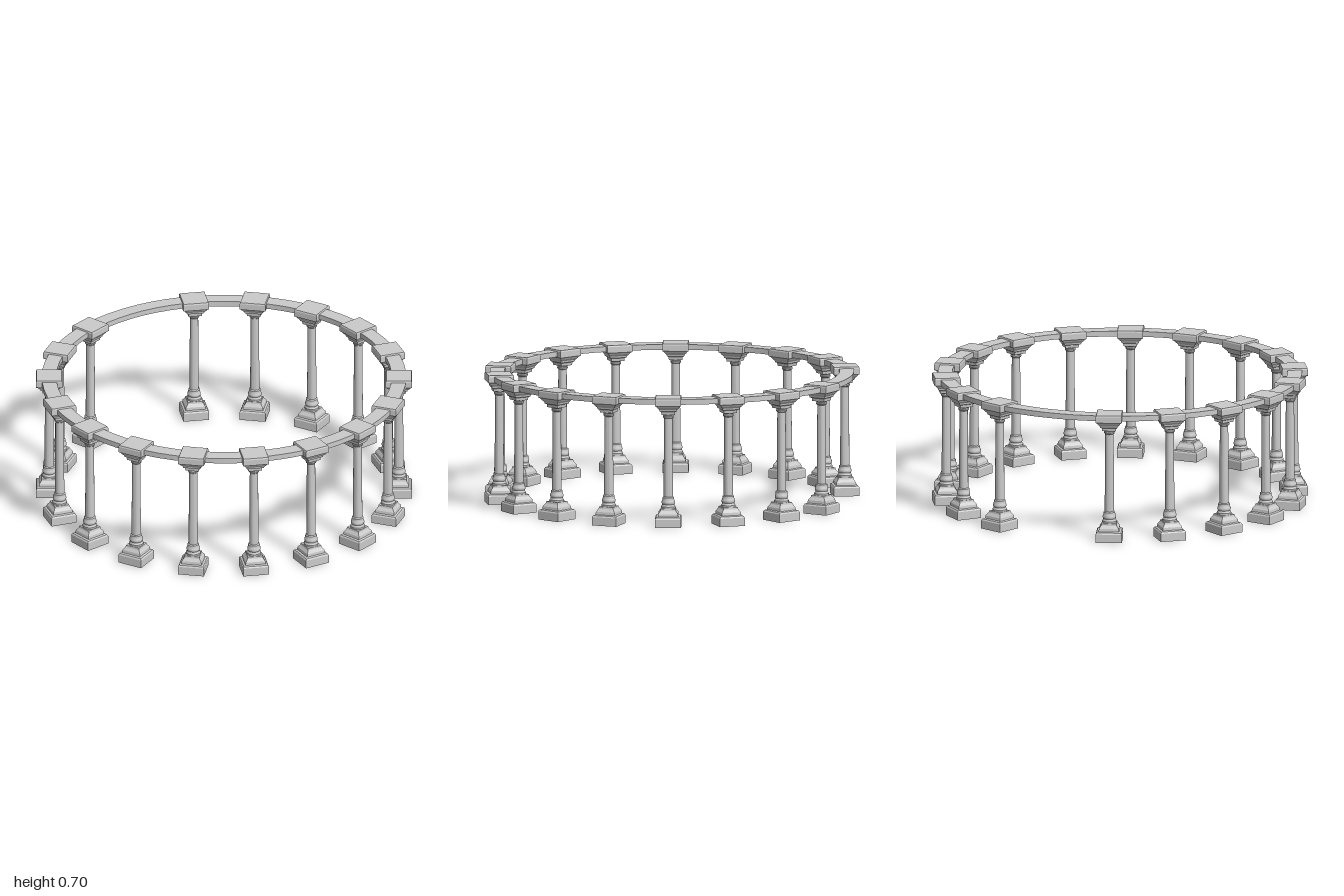
import * as THREE from 'three';
import { toCreasedNormals } from 'three/addons/utils/BufferGeometryUtils.js';

const stone = new THREE.MeshStandardMaterial({ color: 0xcccccc });
const flatStone = new THREE.MeshStandardMaterial({ color: 0xcccccc, flatShading: true });

// profile points are [half width, height], listed from bottom to top
function squareTurned(profile) {
  const pts = profile.map(([w, y]) => new THREE.Vector2(w * Math.SQRT2, y));
  return new THREE.LatheGeometry(pts, 4, Math.PI / 4);
}

function roundTurned(profile, sides) {
  const pts = profile.map(([r, y]) => new THREE.Vector2(r, y));
  return toCreasedNormals(new THREE.LatheGeometry(pts, sides), 0.6);
}

export function createModel() {
  const model = new THREE.Group();
  model.name = 'colonnade';

  // square stepped foot with chamfered top edge
  const plinthGeo = squareTurned([
    [0, 0], [0.07, 0], [0.07, 0.045], [0.065, 0.053], [0.055, 0.057],
    [0.053, 0.072], [0.042, 0.088], [0.04, 0.098], [0, 0.098],
  ]);
  // rounded mouldings between foot and shaft
  const baseGeo = roundTurned([
    [0.036, 0.09], [0.039, 0.1], [0.039, 0.108], [0.034, 0.114], [0.033, 0.12],
    [0.036, 0.126], [0.036, 0.134], [0.033, 0.14], [0.031, 0.15], [0.031, 0.156], [0.024, 0.162],
  ], 20);
  const shaftGeo = roundTurned([
    [0.0255, 0.155], [0.0245, 0.3], [0.0235, 0.45], [0.0225, 0.595],
  ], 16);
  // collar under the capital
  const neckGeo = roundTurned([
    [0.0225, 0.585], [0.028, 0.59], [0.029, 0.597], [0.026, 0.602],
    [0.031, 0.607], [0.035, 0.616], [0.035, 0.622],
  ], 20);
  // flared square capital and its top slab
  const capitalGeo = squareTurned([
    [0, 0.608], [0.036, 0.608], [0.038, 0.624], [0.046, 0.628], [0.048, 0.637],
    [0.058, 0.648], [0.062, 0.655], [0.07, 0.66], [0.07, 0.692], [0.067, 0.7], [0, 0.7],
  ]);

  function makeColumn() {
    const column = new THREE.Group();
    column.name = 'column';
    const parts = [
      ['plinth', plinthGeo, flatStone],
      ['baseMoulding', baseGeo, stone],
      ['shaft', shaftGeo, stone],
      ['neckMoulding', neckGeo, stone],
      ['capital', capitalGeo, flatStone],
    ];
    for (const [name, geo, mat] of parts) {
      const mesh = new THREE.Mesh(geo, mat);
      mesh.name = name;
      column.add(mesh);
    }
    return column;
  }

  // eighteen places around the circle, one at the back left open as the entrance
  const slots = 18, openSlot = 9, radius = 0.935, centerZ = -0.015;
  for (let i = 0; i < slots; i++) {
    if (i === openSlot) continue;
    const angle = THREE.MathUtils.degToRad(-4 + i * 360 / slots);
    const column = makeColumn();
    column.position.set(Math.sin(angle) * radius, 0, centerZ + Math.cos(angle) * radius);
    column.rotation.y = angle;
    model.add(column);
  }

  // ring beam resting on the capitals
  const beam = new THREE.Mesh(roundTurned([
    [0.897, 0.663], [0.975, 0.663], [0.975, 0.692], [0.897, 0.692], [0.897, 0.663],
  ], 72), stone);
  beam.name = 'ringBeam';
  beam.position.z = centerZ;
  model.add(beam);

  return model;
}
